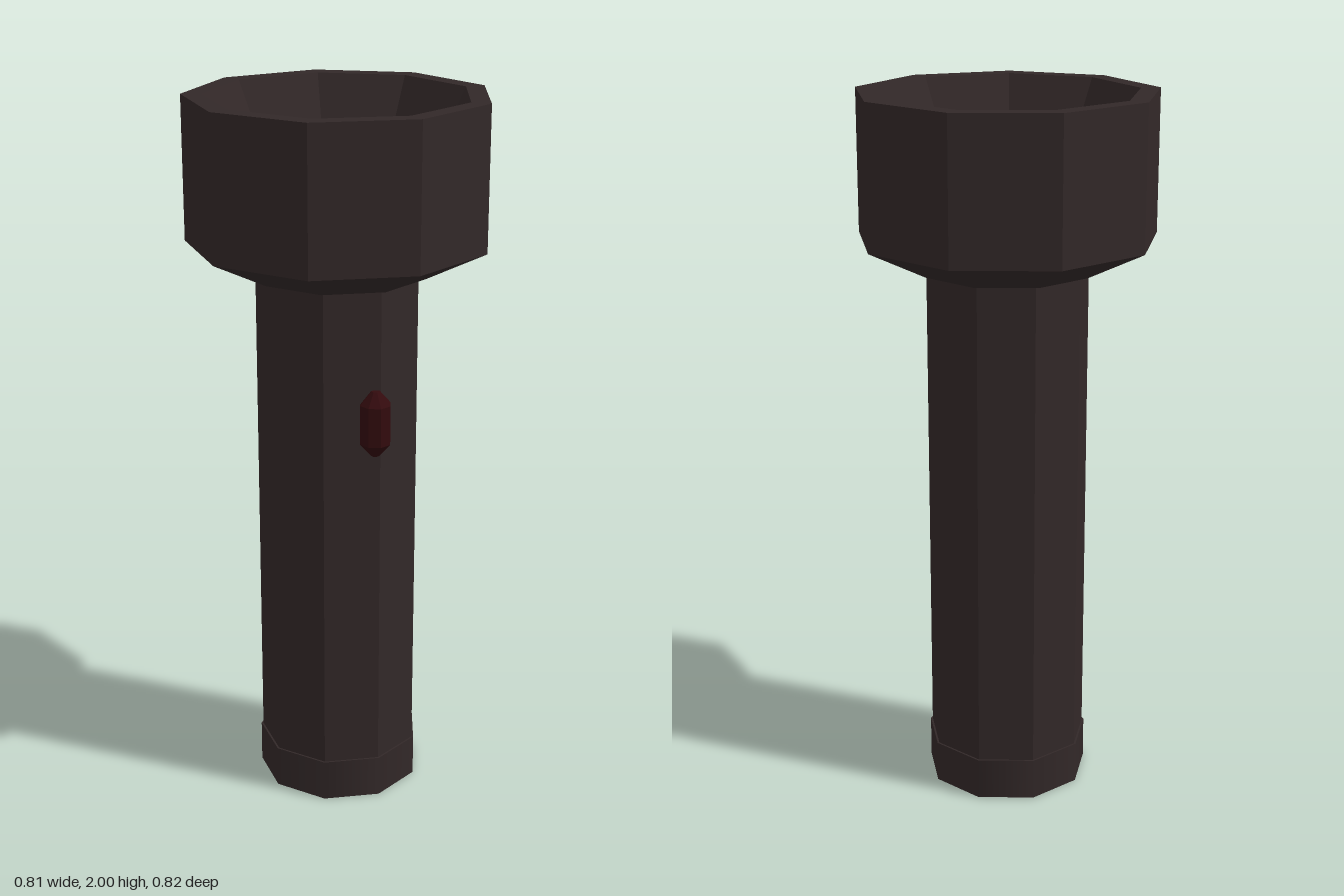
import * as THREE from 'three';

const SIDES = 9;
const CX = -0.0127; // a nine-sided ring with a corner on +x sits slightly off centre

const mat = (color, flatShading = true) => new THREE.MeshStandardMaterial({ color, flatShading });

function add(group, name, geometry, material, x = CX, y = 0, z = 0) {
  const mesh = new THREE.Mesh(geometry, material);
  mesh.name = name;
  mesh.position.set(x, y, z);
  group.add(mesh);
  return mesh;
}

// Profile of [radius, height] pairs turned around y, first corner on +x
const turned = (profile, sides = SIDES) =>
  new THREE.LatheGeometry(profile.map(([r, y]) => new THREE.Vector2(r, y)), sides, Math.PI / 2);

const prism = (radius, y0, y1) =>
  new THREE.CylinderGeometry(radius, radius, y1 - y0, SIDES, 1, false, Math.PI / 2)
    .translate(0, (y0 + y1) / 2, 0);

export function createModel() {
  const torch = new THREE.Group();
  torch.name = 'flashlight';
  const casing = mat(0x322828);

  // Handle and the slightly wider, softly shaded tail cap
  add(torch, 'handle', prism(0.228, 0.06, 1.54), casing);
  add(torch, 'tailCap', prism(0.2335, 0, 0.12), mat(0x322828, false));

  // Flared head with flat rim and conical reflector bowl
  const floor = 1.6;
  add(torch, 'head', turned([
    [0.22, 1.52], [0.25, 1.522], [0.4177, 1.605], [0.4177, 2],
    [0.363, 2], [0.17, floor], [0, floor],
  ]), casing);

  // Bulb on the reflector floor
  add(torch, 'bulb', new THREE.SphereGeometry(0.052, 12, 8), mat(0xe0d050, false), CX, floor + 0.03);

  // Switch on the front of the handle
  add(torch, 'switchButton', turned([
    [0, -0.092], [0.012, -0.092], [0.044, -0.055], [0.044, 0.055], [0.012, 0.092], [0, 0.092],
  ], 8), mat(0x330b0e), 0.011, 1.153, 0.226);

  return torch;
}
